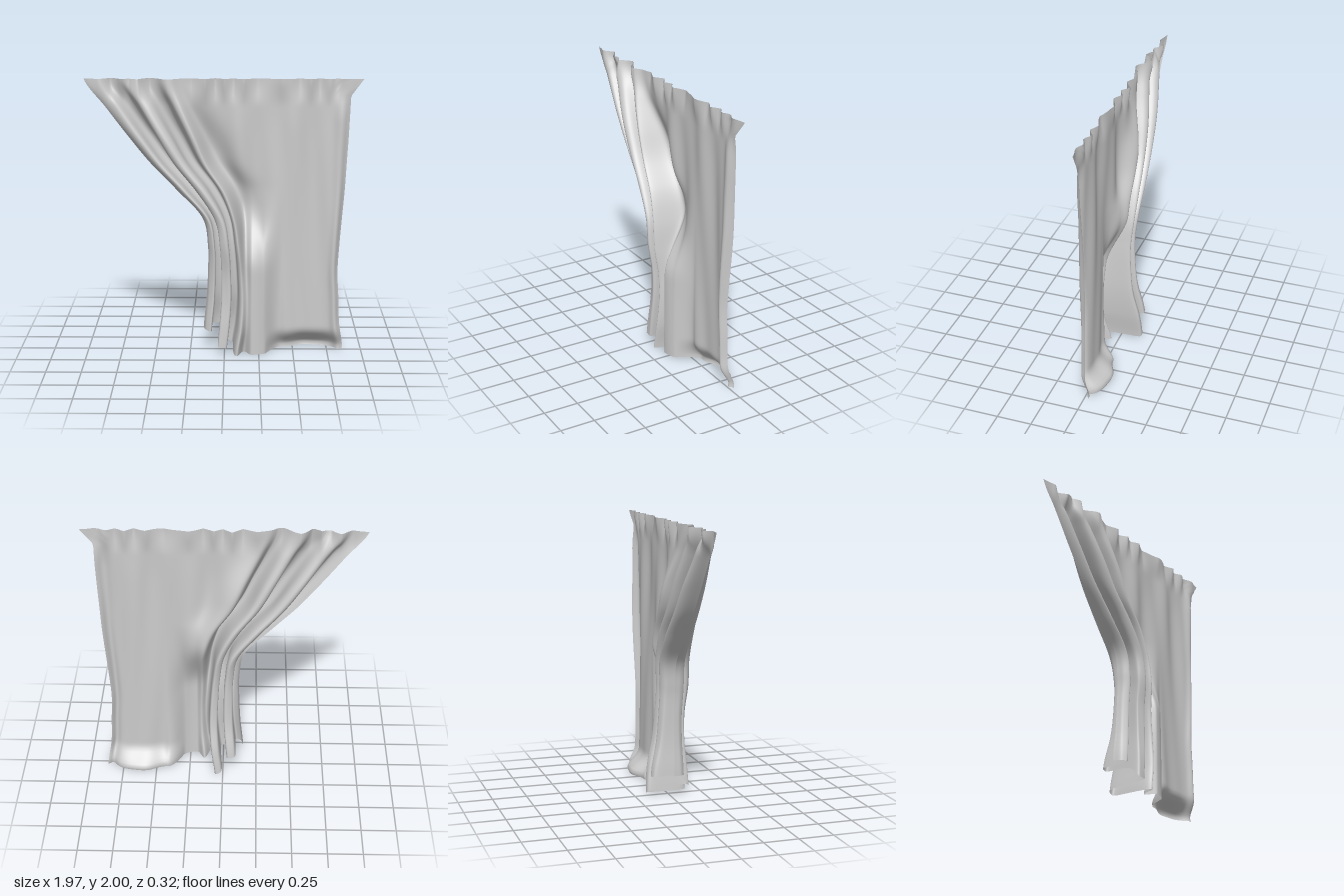
import * as THREE from 'three';

const { lerp, clamp, smoothstep } = THREE.MathUtils;

// Smooth curve through values given at y = 0, 0.2, 0.4 ... 2
function byHeight(values) {
  const spline = new THREE.SplineCurve(values.map((v, i) => new THREE.Vector2(i, v)));
  return y => spline.getPoint(clamp(y / 2, 0, 1)).y;
}

const leftEdge = byHeight([-0.155, -0.15, -0.13, -0.12, -0.12, -0.16, -0.34, -0.53, -0.69, -0.84, -0.99]);
const innerFold = byHeight([0.09, 0.12, 0.13, 0.12, 0.1, 0.07, 0.0, -0.13, -0.22, -0.31, -0.39]);
const rightEdge = byHeight([0.87, 0.84, 0.83, 0.82, 0.83, 0.845, 0.86, 0.87, 0.88, 0.887, 0.89]);
const foldDepth = byHeight([0.16, 0.148, 0.118, 0.106, 0.112, 0.115, 0.11, 0.095, 0.083, 0.055, 0.02]);
const foldCentre = byHeight([0, 0.005, 0.02, 0.03, 0.045, 0.035, 0.025, 0.02, 0.02, 0.02, 0.012]);

const bell = (x, centre, width) => Math.exp(-(((x - centre) / width) ** 2));

// Pinched pleats along the heading, fading out below it
function pinch(x, y) {
  const fade = smoothstep(y, 1.8, 2);
  const saw = Math.abs((((x * 5.3 + 0.3 * Math.sin(x * 9)) % 1) + 1) % 1 - 0.5) * 4 - 1;
  return 0.022 * fade * saw * smoothstep(0.97 - Math.abs(x), 0, 0.2);
}

// Cloth swept to one side in deep, rounded folds
function gathered(s, t) {
  const bottom = 0.17 - 0.04 * s - 0.09 * smoothstep(s, 0.44, 0.52) - 0.043 * smoothstep(s, 0.6, 0.85);
  const y = lerp(2, Math.max(0, bottom), t);
  const phase = Math.PI * 2 * 2.25 * s;
  const grow = 0.35 + 0.65 * smoothstep(s, 0, 0.35);
  const inside = Math.sin(Math.PI * s) * smoothstep(2 - y, 0, 0.6);
  const x = lerp(leftEdge(y), innerFold(y), s) - 0.02 * inside * Math.sin(2 * phase);
  const fold = Math.tanh(1.2 * Math.sin(phase)) / Math.tanh(1.2);
  const crease = 0.009 * inside * Math.sin(phase * 3 + y * 2);
  const z = (foldCentre(y) + foldDepth(y) * fold) * grow + crease;
  return [x, y, z + pinch(x, y)];
}

// Broad hanging cloth with soft waves and a hem that kicks back at the floor
function panel(m, t) {
  const y = 2 * (1 - t);
  const tip = 0.09 * clamp(1 - (2 - y) / 0.12, 0, 1) * smoothstep(m, 0.88, 1);
  const inner = innerFold(y);
  // columns packed closer beside the folds
  const x = lerp(inner, rightEdge(y), m ** 1.4) + tip;
  const start = gathered(1, t)[2] - pinch(x, y);
  const low = 1 - smoothstep(y, 0.6, 1.25);
  // forward ridge low down, backward hollow beside the swept folds higher up
  const ridge = low * smoothstep(x, 0.12, 0.2) * (0.125 * (1 - smoothstep(x, 0.28, 0.42)) - 0.025 * bell(x, 0.33, 0.07));
  const hollow = 0.085 * bell(x, inner + 0.09, 0.11) * smoothstep(y, 0.65, 1.1) * (1 - smoothstep(y, 1.45, 1.95));
  const wave = (0.011 * Math.sin(x * 17 + 0.7 * Math.sin(y * 2)) + 0.005 * Math.sin(x * 31 + y * 3))
    * smoothstep(x - inner, 0.05, 0.2) * (1 - 0.5 * smoothstep(y, 1.6, 2));
  let z = lerp(0.008 + ridge - hollow + wave, start, bell(x, inner, 0.04));
  // turned side edge
  z += (0.022 * bell(m, 0.96, 0.025) - 0.022 * smoothstep(m, 0.97, 1)) * (1 - smoothstep(y, 1.7, 1.95));
  // hem
  const h = clamp((0.17 - y) / 0.17, 0, 1);
  const span = Math.sin(Math.PI * clamp((x - 0.3) / 0.62, 0, 1)) ** 0.8;
  z -= 0.115 * span * Math.sin(Math.PI * 0.62 * h ** 2);
  return [x, y, z + pinch(x, y)];
}

function cloth(name, fn, cols, rows) {
  const pos = [], index = [];
  for (let j = 0; j <= rows; j++) {
    for (let i = 0; i <= cols; i++) pos.push(...fn(i / cols, j / rows));
  }
  for (let j = 0; j < rows; j++) {
    for (let i = 0; i < cols; i++) {
      const a = j * (cols + 1) + i, b = a + cols + 1;
      index.push(a, b, a + 1, b, b + 1, a + 1);
    }
  }
  const geo = new THREE.BufferGeometry();
  geo.setAttribute('position', new THREE.Float32BufferAttribute(pos, 3));
  geo.setIndex(index);
  geo.computeVertexNormals();
  const mesh = new THREE.Mesh(geo, new THREE.MeshStandardMaterial({ color: 0xcccccc, side: THREE.DoubleSide }));
  mesh.name = name;
  return mesh;
}

export function createModel() {
  const curtain = new THREE.Group();
  curtain.name = 'curtain';
  curtain.add(cloth('gatheredFolds', gathered, 110, 90), cloth('hangingPanel', panel, 110, 90));
  return curtain;
}
